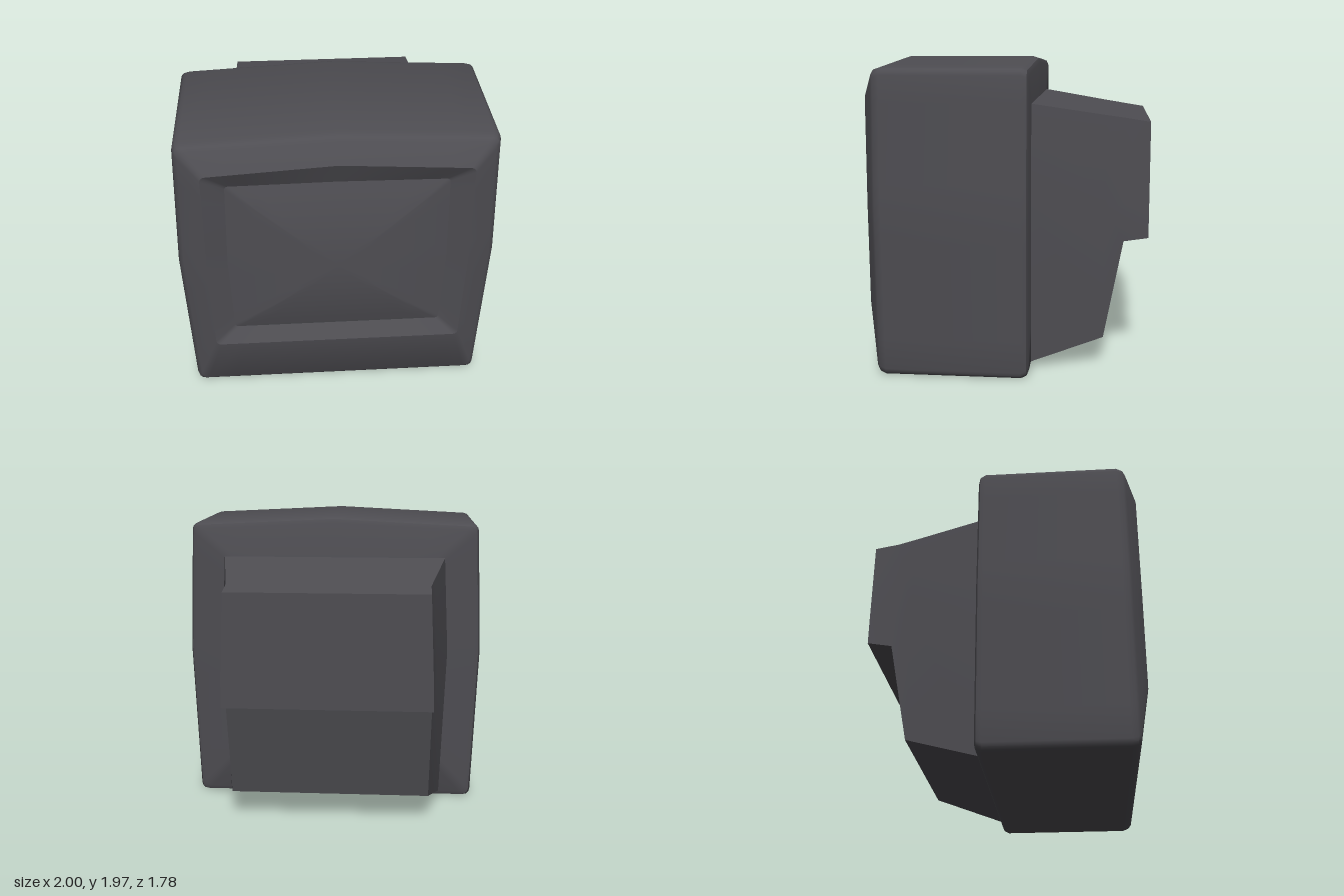
import * as THREE from 'three';
import { toCreasedNormals } from 'three/addons/utils/BufferGeometryUtils.js';

const MID_Y = 1.06;

// Skin a list of rings (counter-clockwise from the front, ordered back to front).
function loft(rings, crease) {
  const pos = [];
  const tri = new THREE.Triangle();
  const add = (a, b, c) => {
    if (tri.set(a, b, c).getArea() > 1e-9) for (const p of [a, b, c]) pos.push(p.x, p.y, p.z);
  };
  for (let i = 0; i + 1 < rings.length; i++) {
    const lower = rings[i], upper = rings[i + 1], n = lower.length;
    for (let j = 0; j < n; j++) {
      const k = (j + 1) % n;
      add(lower[j], lower[k], upper[k]);
      add(lower[j], upper[k], upper[j]);
    }
  }
  const geometry = new THREE.BufferGeometry();
  geometry.setAttribute('position', new THREE.Float32BufferAttribute(pos, 3));
  return toCreasedNormals(geometry, crease);
}

// Rounded outline with bowed sides and a raised top centre, mirrored about x = 0.
function outline({ bottomW, midW, topW, bottom, top, peak, r }, z, inset = 0) {
  const half = [];
  const bw = bottomW - inset, mw = midW - inset, tw = topW - inset;
  const b = bottom + inset, t = top - inset, p = peak - inset;
  const line = (x0, y0, x1, y1) => {
    for (let i = 1; i < 5; i++) {
      half.push([THREE.MathUtils.lerp(x0, x1, i / 5), THREE.MathUtils.lerp(y0, y1, i / 5)]);
    }
  };
  const corner = (cx, cy, start) => {
    for (let i = 0; i <= 3; i++) {
      const a = start + (i / 3) * Math.PI / 2;
      half.push([cx + r * Math.cos(a), cy + r * Math.sin(a)]);
    }
  };
  half.push([0, b]);
  line(0, b, bw - r, b);
  corner(bw - r, b + r, -Math.PI / 2);
  line(bw, b + r, mw, MID_Y);
  half.push([mw, MID_Y]);
  line(mw, MID_Y, tw, t - r);
  corner(tw - r, t - r, 0);
  line(tw - r, t, 0, p);
  half.push([0, p]);
  const mirrored = half.slice(1, -1).reverse().map(([x, y]) => [-x, y]);
  return [...half, ...mirrored].map(([x, y]) => new THREE.Vector3(x, y, z));
}

const pointRing = (n, y, z) => Array.from({ length: n }, () => new THREE.Vector3(0, y, z));

export function createModel() {
  const model = new THREE.Group();
  model.name = 'monitor';
  const plastic = new THREE.MeshStandardMaterial({ color: 0x4e4d52 });
  plastic.name = 'darkGreyPlastic';
  const addPart = (name, geometry) => {
    const mesh = new THREE.Mesh(geometry, plastic);
    mesh.name = name;
    model.add(mesh);
  };

  const shell = { bottomW: 0.965, midW: 1, topW: 0.965, bottom: 0, top: 1.925, peak: 1.97, r: 0.045 };
  const opening = { bottomW: 0.805, midW: 0.82, topW: 0.81, bottom: 0.41, top: 1.76, peak: 1.81, r: 0.03 };
  const glass = { bottomW: 0.675, midW: 0.692, topW: 0.675, bottom: 0.515, top: 1.65, peak: 1.658, r: 0.02 };

  // Housing: flat back, soft rear edge, straight sides, soft front edge, sloping bezel
  const shellSteps = [[-0.155, 0.04], [-0.143, 0.013], [-0.11, 0], [0.745, 0], [0.785, 0.013], [0.803, 0.035]];
  const shellRings = shellSteps.map(([z, inset]) => outline(shell, z, inset));
  const count = shellRings[0].length;
  addPart('housing', loft([
    pointRing(count, MID_Y, -0.155),
    ...shellRings,
    outline(opening, 0.868),
  ], 0.7));

  // Recess sloping from the bezel down to the screen
  addPart('screenRecess', loft([outline(opening, 0.868), outline(glass, 0.81)], 0.5));

  // Domed screen: shrinking rings that rise towards the centre
  const edge = outline(glass, 0.81);
  const centerY = 1.075;
  const domeRings = [];
  for (let i = 0; i <= 8; i++) {
    const t = 1 - i / 8;
    domeRings.push(edge.map((p) => new THREE.Vector3(
      p.x * t, centerY + (p.y - centerY) * t, 0.81 + 0.08 * (1 - t * t))));
  }
  addPart('screen', loft(domeRings, 1));

  // Tapered rear casing: [z, bottom y, bottom half-width, mid y, mid half-width, top y, top half-width]
  const stations = [
    [-0.89, 0.855, 0.66, 1.06, 0.655, 1.585, 0.63],
    [-0.735, 0.83, 0.657, 1.06, 0.66, 1.61, 0.633],
    [-0.615, 0.19, 0.65, 1.06, 0.685, 1.628, 0.655],
    [-0.15, 0.04, 0.742, 1.06, 0.777, 1.702, 0.744],
  ];
  const rearRings = stations.map(([z, y0, w0, y1, w1, y2, w2]) =>
    [[-w0, y0], [w0, y0], [w1, y1], [w2, y2], [-w2, y2], [-w1, y1]]
      .map(([x, y]) => new THREE.Vector3(x, y, z)));
  addPart('rearCasing', loft([pointRing(6, 1.2, -0.89), ...rearRings], 0.3));

  return model;
}
